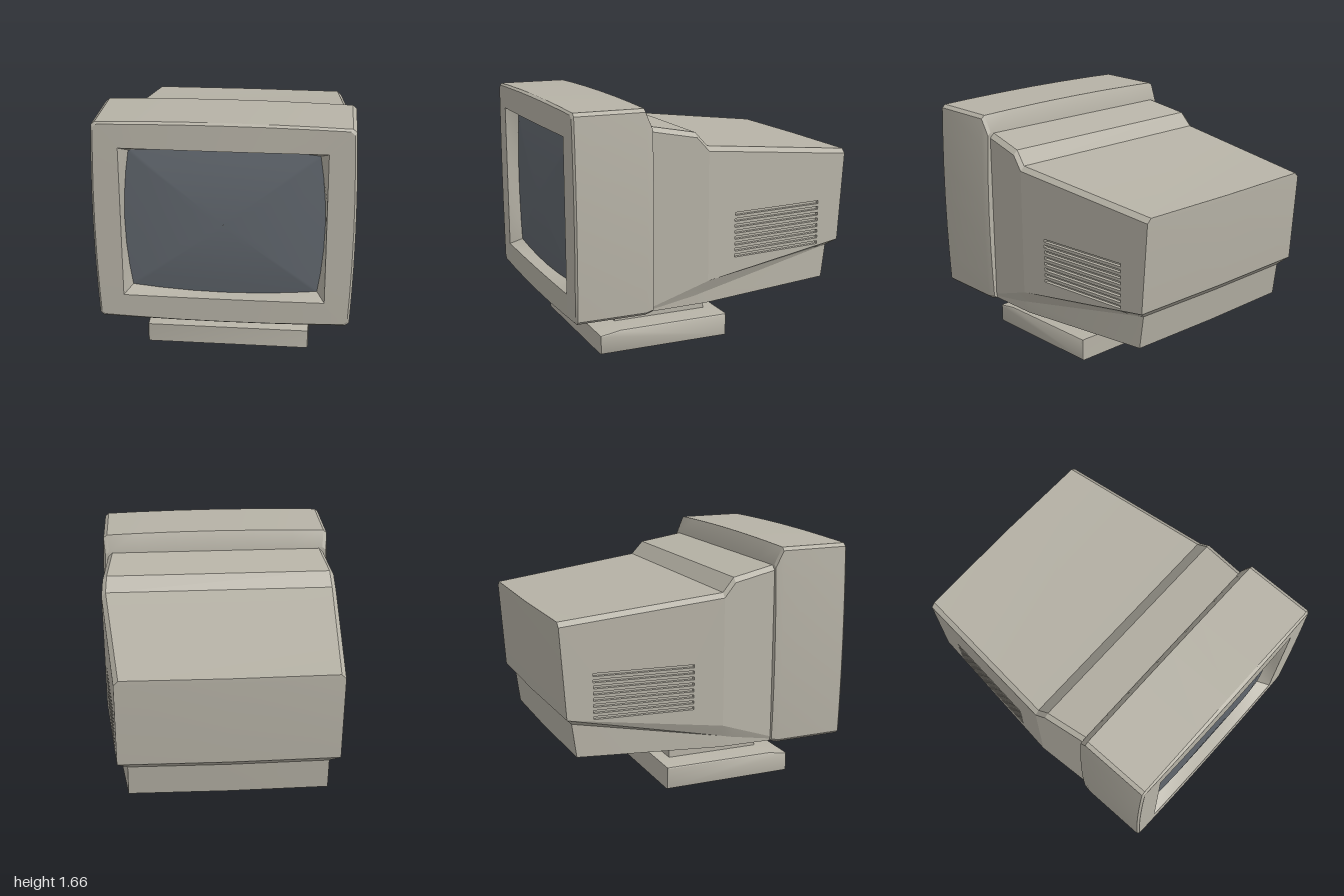
import * as THREE from 'three';
import { toCreasedNormals } from 'three/addons/utils/BufferGeometryUtils.js';

const casing = new THREE.MeshStandardMaterial({ color: 0xb6b2a6, side: THREE.DoubleSide });
casing.name = 'casing grey';
const glass = new THREE.MeshStandardMaterial({ color: 0x60666d });
glass.name = 'screen glass';

// Skin over a list of closed loops, each an array of [x, y, z]; skip(k, i) leaves a gap.
function loft(loops, crease, skip = () => false) {
  const pos = [];
  const n = loops[0].length;
  for (let k = 0; k < loops.length - 1; k++) {
    for (let i = 0; i < n; i++) {
      if (skip(k, i)) continue;
      const j = (i + 1) % n;
      const [a, b, c, d] = [loops[k][i], loops[k][j], loops[k + 1][j], loops[k + 1][i]];
      pos.push(...a, ...b, ...c, ...a, ...c, ...d);
    }
  }
  const g = new THREE.BufferGeometry();
  g.setAttribute('position', new THREE.Float32BufferAttribute(pos, 3));
  return toCreasedNormals(g, crease);
}

// Barrel-sided rectangle, anticlockwise seen from the front.
const STEPS = [-1, -0.97, -0.7, -0.35, 0, 0.35, 0.7, 0.97];
function barrel({ hw, hh, cy = 0.985, z, bx = 0, by = 0, corner = 0, dome = 0, s = 1 }) {
  const pts = [];
  for (let side = 0; side < 4; side++) {
    for (const t of STEPS) {
      const [u, v] = [[1, t], [-t, 1], [-1, -t], [t, -1]][side];
      const cut = t === -1 ? corner : 0;
      const x = u * (hw - cut + bx * (1 - v * v)) * s;
      const y = v * (hh - cut + by * (1 - u * u)) * s;
      pts.push([x, cy + y, z + dome * (1 - u * u * s * s) * (1 - 0.5 * v * v * s * s)]);
    }
  }
  return pts;
}

// Half width of the rear shell at a given depth.
const halfWidth = z => (z > 0.08 ? 0.815 - (z - 0.08) * 0.118 : 0.815 - (0.08 - z) * 0.095);

// One cross-section of the rear shell: undercut base, step, side and bevelled top.
function shellRing({ zs, top, step, under, bottom, inset }) {
  const half = [
    [halfWidth(zs[0]) - inset, bottom, zs[0]],
    [halfWidth(zs[1]) - inset, under, zs[1]],
    [halfWidth(zs[2]), step, zs[2]],
    [halfWidth(zs[3]), top - 0.03, zs[3]],
    [halfWidth(zs[3]) - 0.03, top, zs[3]],
  ];
  return [...half, ...half.slice().reverse().map(([x, y, z]) => [-x, y, z])];
}

// Side panel drawn in (z, y) with slots, bent onto the shell's taper.
function ventedPanel(side) {
  const poly = pts => pts.map(p => new THREE.Vector2(...p));
  const shape = new THREE.Shape(poly([[0.08, 0.505], [0.08, 1.355], [-0.99, 1.24], [-0.95, 0.645]]));
  for (let i = 0; i < 8; i++) {
    const y = 0.635 + i * 0.04;
    shape.holes.push(new THREE.Path(poly([[-0.12, y], [-0.78, y], [-0.78, y + 0.02], [-0.12, y + 0.02]])));
  }
  const g = new THREE.ExtrudeGeometry(shape, { depth: 0.025, bevelEnabled: false });
  const p = g.attributes.position;
  for (let i = 0; i < p.count; i++) {
    const [z, y, d] = [p.getX(i), p.getY(i), p.getZ(i)];
    p.setXYZ(i, side * (halfWidth(z) - d), y, z);
  }
  return toCreasedNormals(g, 0.5);
}

export function createModel() {
  const model = new THREE.Group();
  model.name = 'monitor';
  const add = (name, geometry, material, parent = model) => {
    const mesh = new THREE.Mesh(geometry, material);
    mesh.name = name;
    parent.add(mesh);
    return mesh;
  };

  // Front housing, from its sloped back edge round to the funnel about the screen
  const outline = { hw: 0.8, hh: 0.66, bx: 0.018, by: 0.015, corner: 0.01 };
  const rim = { hw: 0.59, hh: 0.46, bx: 0.04, by: 0.035, z: 0.9 };
  add('frontHousing', loft([
    barrel({ hw: 0.7, hh: 0.5, cy: 0.935, z: 0.46 }),
    barrel({ hw: 0.79, hh: 0.6, cy: 0.935, z: 0.455, bx: 0.018, by: 0.005, corner: 0.01 }),
    barrel({ ...outline, z: 0.505 }),
    barrel({ ...outline, z: 0.965 }),
    barrel({ ...outline, hw: 0.787, hh: 0.647, z: 0.977, dome: 0.015 }),
    barrel({ hw: 0.64, hh: 0.5, z: 0.981, dome: 0.013 }),
    barrel(rim),
  ], 0.5), casing);

  // Domed screen
  add('screen', loft([1, 0.8, 0.6, 0.4, 0.2, 0.001].map(s => {
    const ring = barrel({ ...rim, s });
    return ring.map(([x, y]) => [x, y, 0.9 + 0.05 * (1 - s * s)]);
  }), 1), glass);

  // Rear shell with the vented part of each side left open
  const rear = shellRing({
    zs: [-0.87, -0.9, -0.95, -0.99], top: 1.27, step: 0.645, under: 0.595, bottom: 0.37, inset: 0.07,
  });
  const flat = z => [z, z, z, z];
  const loops = [
    rear.map(([, y, z]) => [0, y, z - 0.01]),
    rear,
    shellRing({ zs: flat(0.08), top: 1.385, step: 0.505, under: 0.425, bottom: 0.347, inset: 0.035 }),
    shellRing({ zs: flat(0.16), top: 1.475, step: 0.475, under: 0.405, bottom: 0.345, inset: 0.028 }),
    shellRing({ zs: flat(0.47), top: 1.53, step: 0.36, under: 0.345, bottom: 0.335, inset: 0.005 }),
  ];
  add('rearShell', loft(loops, 0.3, (k, i) => k === 1 && (i === 2 || i === 6)), casing);

  // Slotted side panels and the floors of their slots
  for (const side of [1, -1]) {
    const name = side > 0 ? 'left' : 'right';
    add(name + 'VentPanel', ventedPanel(side), casing);
    const floor = add(name + 'VentFloor', new THREE.BoxGeometry(0.008, 0.36, 0.72), casing);
    floor.position.set(side * (halfWidth(-0.45) - 0.028), 0.785, -0.45);
    floor.rotation.y = side * Math.atan(0.095);
  }

  // Stand: neck and foot with a sloping front
  const neck = add('neck', new THREE.BoxGeometry(0.72, 0.24, 0.66), casing);
  neck.position.set(0, 0.25, 0.225);
  const profile = new THREE.Shape([
    [-0.185, 0.01], [0.71, 0.01], [0.71, 0.12], [0.58, 0.142], [-0.185, 0.145],
  ].map(p => new THREE.Vector2(...p)));
  const foot = new THREE.ExtrudeGeometry(profile, {
    depth: 1.05, bevelThickness: 0.015, bevelSize: 0.01, bevelSegments: 2,
  });
  foot.translate(0, 0, -0.525).rotateY(-Math.PI / 2);
  add('foot', toCreasedNormals(foot, 0.6), casing);

  return model;
}
